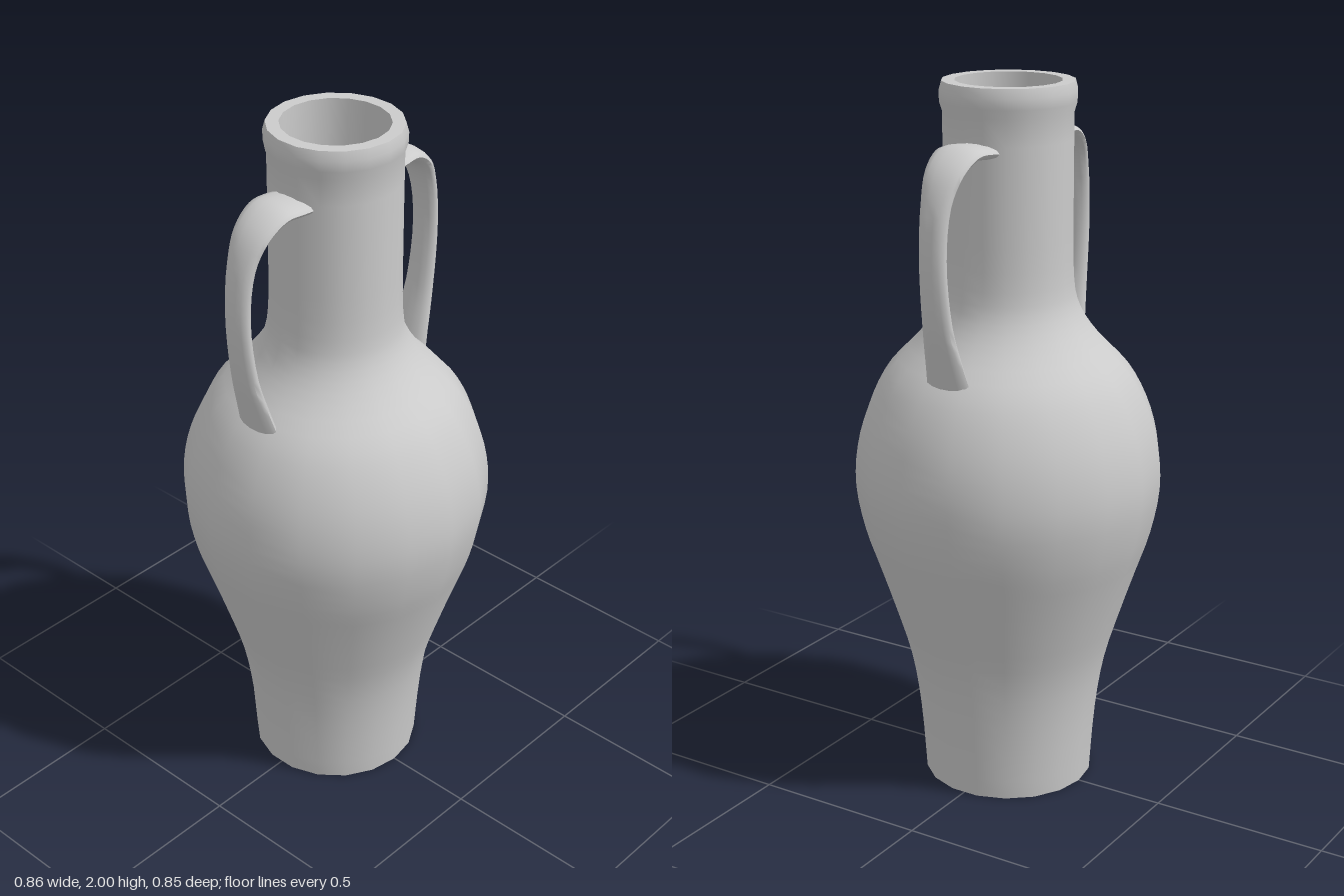
import * as THREE from 'three';
import { toCreasedNormals } from 'three/addons/utils/BufferGeometryUtils.js';

const material = new THREE.MeshStandardMaterial({ color: 0xcccccc });
const v2 = ([x, y]) => new THREE.Vector2(x, y);

// Hollow body: one closed profile turned in 18 sides
function createBody() {
  const wall = new THREE.SplineCurve([
    [0.24, 0], [0.255, 0.2], [0.28, 0.36], [0.325, 0.51], [0.365, 0.63], [0.405, 0.75],
    [0.429, 0.88], [0.422, 1.0], [0.39, 1.11], [0.335, 1.21], [0.25, 1.3], [0.2, 1.375],
    [0.181, 1.46], [0.178, 1.65], [0.178, 1.92],
  ].map(v2)).getPoints(42);
  const rim = [[0.186, 1.945], [0.187, 1.975], [0.18, 2], [0.145, 2]].map(v2);
  const inside = [
    [0.143, 1.46], [0.16, 1.38], [0.29, 1.2], [0.37, 1.05], [0.39, 0.9], [0.36, 0.72],
    [0.28, 0.48], [0.22, 0.2], [0.21, 0.06], [0, 0.06],
  ].map(v2);
  const profile = [v2([0, 0]), ...wall, ...rim, ...inside];
  // Start at +x so a corner of the polygon lies on the x axis
  const geometry = new THREE.LatheGeometry(profile, 18, Math.PI / 2);
  const body = new THREE.Mesh(toCreasedNormals(geometry, 0.7), material);
  body.name = 'body';
  return body;
}

// Strap handle: ellipses of changing width swept along a curve in the yz plane
function createHandle() {
  const path = new THREE.CatmullRomCurve3([
    [1.825, 0.125], [1.835, 0.19], [1.835, 0.25], [1.795, 0.31], [1.72, 0.348],
    [1.58, 0.365], [1.4, 0.347], [1.28, 0.315], [1.19, 0.288],
  ].map(([y, z]) => new THREE.Vector3(0, y, z)));
  const widths = new THREE.SplineCurve([
    [0, 0.07], [0.125, 0.075], [0.25, 0.07], [0.375, 0.06], [0.5, 0.046],
    [0.625, 0.041], [0.75, 0.046], [0.875, 0.06], [1, 0.072],
  ].map(v2));
  const rings = 32, sides = 14, thickness = 0.021;
  const positions = [], index = [];
  for (let i = 0; i <= rings; i++) {
    const t = i / rings;
    const p = path.getPoint(t), d = path.getTangent(t), w = widths.getPoint(t).y;
    for (let j = 0; j < sides; j++) {
      const a = (j / sides) * Math.PI * 2;
      const s = Math.sin(a) * thickness;
      positions.push(Math.cos(a) * w, p.y + d.z * s, p.z - d.y * s);
      if (i < rings) {
        const k = i * sides, n = (j + 1) % sides;
        index.push(k + j, k + n, k + sides + j, k + n, k + sides + n, k + sides + j);
      }
    }
  }
  // End caps
  const last = rings * sides;
  for (let j = 1; j < sides - 1; j++) {
    index.push(0, j + 1, j, last, last + j, last + j + 1);
  }
  // The rings turn about +z at the neck, so the faces already point outward
  const geometry = new THREE.BufferGeometry();
  geometry.setAttribute('position', new THREE.Float32BufferAttribute(positions, 3));
  geometry.setIndex(index);
  return new THREE.Mesh(toCreasedNormals(geometry, 1.1), material);
}

export function createModel() {
  const group = new THREE.Group();
  group.name = 'amphora';
  group.add(createBody());

  const front = createHandle();
  front.name = 'frontHandle';
  const back = front.clone();
  back.name = 'backHandle';
  back.rotation.y = Math.PI;
  group.add(front, back);
  return group;
}
